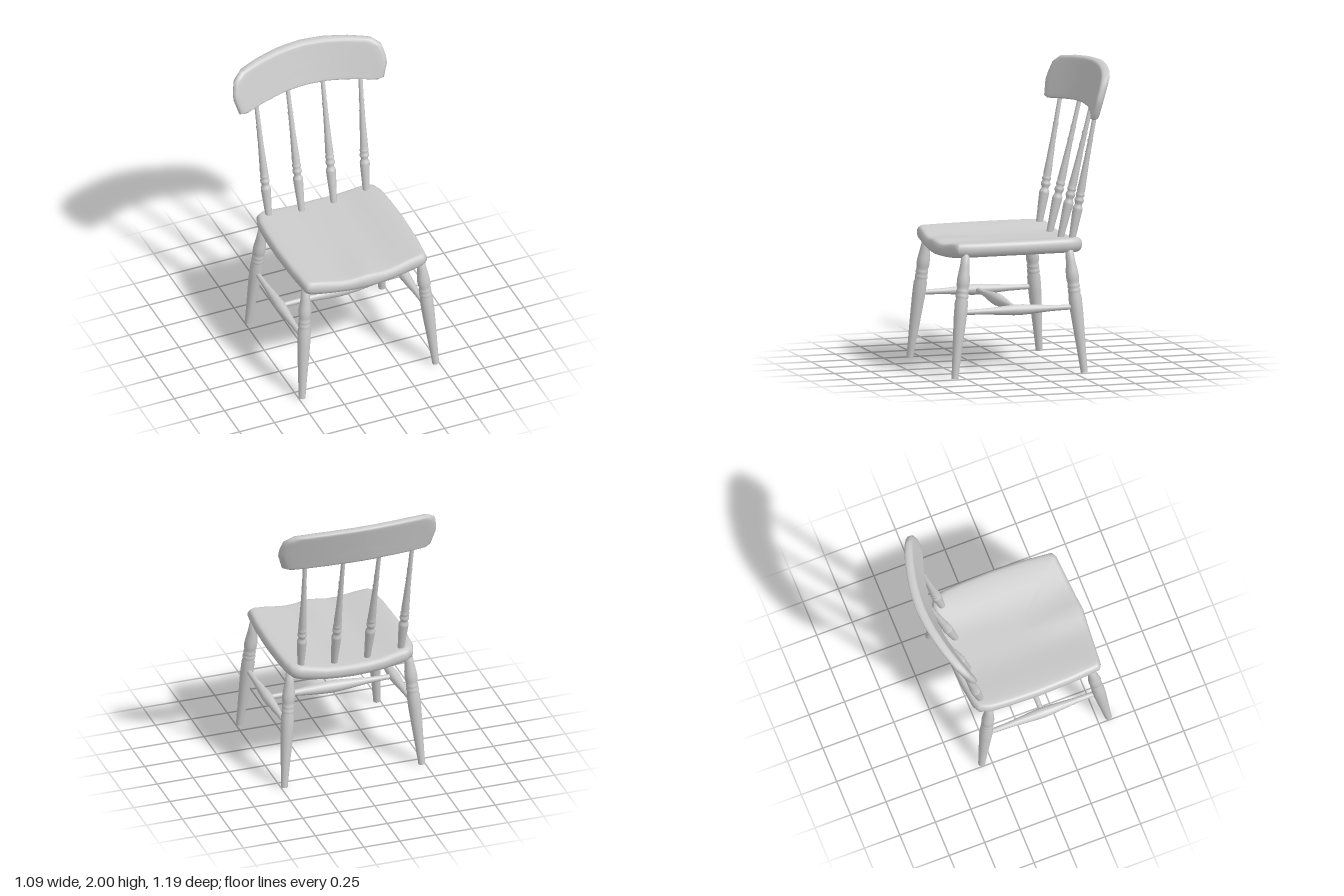
import * as THREE from 'three';
import { mergeVertices } from 'three/addons/utils/BufferGeometryUtils.js';

const material = new THREE.MeshStandardMaterial({ color: 0xcccccc });
const smooth = THREE.MathUtils.smoothstep;
const lerp = THREE.MathUtils.lerp;

// Slab made of rings that run from the middle of one face, round the rim, to the other face.
// half: right half of the outline, from x = 0 to x = 0; rings: [scale, depth 0..1] pairs.
function slab(name, half, centre, rings, place) {
  const corners = [...half, ...half.slice(1, -1).reverse().map(([u, v]) => [-u, v])];
  const outline = corners.flatMap(([u, v], i) => {
    const [u2, v2] = corners[(i + 1) % corners.length];
    return [0, 0.5].map((k) => [lerp(u, u2, k), lerp(v, v2, k)]);
  });
  const n = outline.length;
  const positions = [];
  const index = [];
  rings.forEach(([scale, depth], i) => {
    outline.forEach(([u, v], j) => {
      positions.push(...place(u * scale, centre + (v - centre) * scale, depth));
      if (i === rings.length - 1) return;
      const a = i * n + j;
      const d = i * n + ((j + 1) % n);
      if (rings[i + 1][0] === 0) index.push(a, a + n, d);
      else if (scale === 0) index.push(a, a + n, d + n);
      else index.push(a, a + n, d + n, a, d + n, d);
    });
  });
  let geometry = new THREE.BufferGeometry();
  geometry.setAttribute('position', new THREE.Float32BufferAttribute(positions, 3));
  geometry.setIndex(index);
  geometry = mergeVertices(geometry, 1e-5);
  geometry.computeVertexNormals();
  const mesh = new THREE.Mesh(geometry, material);
  mesh.name = name;
  return mesh;
}

// Lathe-turned rod between two points; profile: [fraction of length, radius] pairs.
function turned(name, from, to, profile) {
  const start = new THREE.Vector3(...from);
  const axis = new THREE.Vector3(...to).sub(start);
  const length = axis.length();
  const full = [[0, 0], [0, profile[0][1] - 0.001], ...profile, [1, 0]];
  const points = full.map(([t, r]) => new THREE.Vector2(r, t * length));
  const mesh = new THREE.Mesh(new THREE.LatheGeometry(points, 16), material);
  mesh.position.copy(start);
  mesh.quaternion.setFromUnitVectors(new THREE.Vector3(0, 1, 0), axis.normalize());
  mesh.name = name;
  return mesh;
}

const FACE = [0, 0.15, 0.3, 0.45, 0.6, 0.75, 0.87];

const SEAT_OUTLINE = [
  [0, 0.585], [0.12, 0.575], [0.25, 0.564], [0.405, 0.55], [0.435, 0.53], [0.452, 0.35], [0.46, 0.1],
  [0.455, -0.1], [0.445, -0.24], [0.42, -0.31], [0.37, -0.338], [0.2, -0.355], [0, -0.363],
];
const CREST_OUTLINE = [
  [0, 1.712], [0.16, 1.709], [0.32, 1.695], [0.48, 1.678], [0.515, 1.69], [0.545, 1.79], [0.543, 1.84],
  [0.525, 1.915], [0.47, 1.957], [0.34, 1.978], [0.17, 1.994], [0, 2],
];

const LEG = [
  [0, 0.023], [0.12, 0.027], [0.3, 0.035], [0.5, 0.043], [0.61, 0.044], [0.64, 0.038], [0.65, 0.042],
  [0.67, 0.042], [0.68, 0.037], [0.69, 0.041], [0.71, 0.041], [0.72, 0.036], [0.74, 0.041],
  [0.78, 0.043], [0.82, 0.04], [0.9, 0.031], [1, 0.025],
];
const SPINDLE = [
  [0, 0.021], [0.08, 0.024], [0.26, 0.033], [0.275, 0.032], [0.29, 0.024], [0.305, 0.024], [0.32, 0.031],
  [0.335, 0.031], [0.35, 0.023], [0.36, 0.029], [0.375, 0.029], [0.385, 0.024], [0.4, 0.027],
  [0.5, 0.023], [0.68, 0.017], [0.69, 0.02], [0.7, 0.017], [0.76, 0.016], [0.78, 0.019],
  [0.79, 0.015], [1, 0.014],
];
const stretcherProfile = (middle) => [
  [0, 0.016], [0.2, 0.02], [0.36, middle * 0.82], [0.46, middle * 0.98], [0.5, middle],
  [0.54, middle * 0.98], [0.64, middle * 0.82], [0.8, 0.02], [1, 0.016],
];

// Dished seat top with a small ridge at the middle of the front, and a shallow curved underside
function seatPoint(x, z, depth) {
  const ax = Math.abs(x);
  const ridge = 0.014 * Math.max(0, 1 - ax / 0.13) * smooth(z, 0.1, 0.55);
  const top = 0.85 + 0.039 * smooth(ax, 0.12, 0.42) + ridge;
  const bottom = 0.76 + 0.038 * (ax / 0.44) ** 2;
  return [x, lerp(top, bottom, depth), z];
}

// Backrest board, bowed backwards in the middle and leaning back
function crestPoint(x, y, depth) {
  const bow = 0.095 * (Math.abs(x) / 0.5) ** 1.8;
  return [x, y, -0.45 + bow - 0.29 * (y - 1.7) - 0.06 * depth];
}

export function createModel() {
  const chair = new THREE.Group();
  chair.name = 'chair';

  chair.add(slab('seat', SEAT_OUTLINE, 0.11, [
    ...FACE.map((s) => [s, 0]),
    [0.935, 0], [0.965, 0.04], [0.985, 0.14], [1, 0.35], [1, 0.6], [0.985, 0.82], [0.96, 0.95], [0.925, 1],
    ...[...FACE].reverse().map((s) => [s, 1]),
  ], seatPoint));

  chair.add(slab('crestRail', CREST_OUTLINE, 1.84, [
    ...FACE.map((s) => [s, 0]),
    [0.93, 0.02], [0.97, 0.1], [1, 0.35], [1, 0.65], [0.97, 0.9], [0.93, 0.98],
    ...[...FACE].reverse().map((s) => [s, 1]),
  ], crestPoint));

  for (const side of [1, -1]) {
    const label = side > 0 ? 'left' : 'right';

    // Splayed legs and the stretcher joining them front to back
    chair.add(turned(label + 'FrontLeg', [side * 0.478, 0.003, 0.575], [side * 0.41, 0.82, 0.478], LEG));
    chair.add(turned(label + 'BackLeg', [side * 0.478, 0.003, -0.318], [side * 0.41, 0.82, -0.235], LEG));
    chair.add(turned(label + 'SideStretcher', [side * 0.44, 0.435, 0.51], [side * 0.44, 0.435, -0.26],
      stretcherProfile(0.036)));

    // Back spindles
    chair.add(turned(label + 'OuterSpindle', [side * 0.347, 0.84, -0.27], [side * 0.373, 1.72, -0.432], SPINDLE));
    chair.add(turned(label + 'InnerSpindle', [side * 0.115, 0.83, -0.268], [side * 0.125, 1.74, -0.487], SPINDLE));
  }

  chair.add(turned('crossStretcher', [-0.44, 0.435, 0.125], [0.44, 0.435, 0.125], stretcherProfile(0.041)));
  return chair;
}
